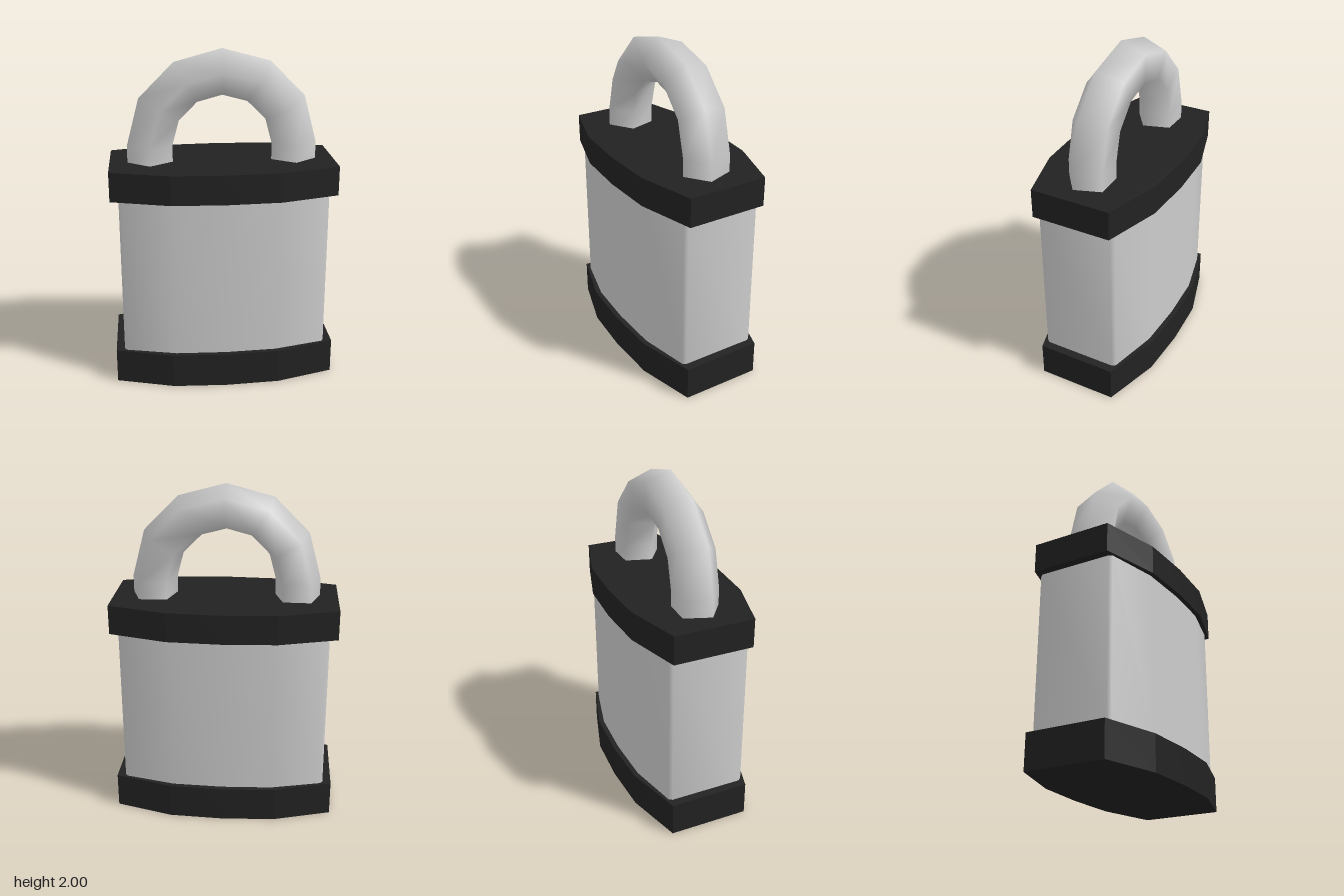
import * as THREE from 'three';
import { toCreasedNormals } from 'three/addons/utils/BufferGeometryUtils.js';

const grey = new THREE.MeshStandardMaterial({ color: 0xcccccc });
const dark = new THREE.MeshStandardMaterial({ color: 0x222222 });

// Upright slab from one quarter of its outline, mirrored in x and z
function slab(name, quarter, y0, y1, crease, material) {
  const half = [...quarter, ...quarter.slice(0, -1).reverse().map(([x, z]) => [-x, z])];
  const outline = [...half, ...half.map(([x, z]) => [-x, -z])];
  const shape = new THREE.Shape(outline.map(([x, z]) => new THREE.Vector2(x, z)));
  const geo = new THREE.ExtrudeGeometry(shape, { depth: y1 - y0, bevelEnabled: false });
  geo.rotateX(-Math.PI / 2).translate(0, y0, 0);
  const mesh = new THREE.Mesh(toCreasedNormals(geo, crease), material);
  mesh.name = name;
  return mesh;
}

// Five-sided bar swept up one leg, round a half circle and down the other
function shackle() {
  const sides = 5, bar = 0.14, bend = 0.425, centreY = 1.44, footY = 1.3, tilt = 0.29;
  const rings = [[0, footY]];
  for (let i = 0; i <= 6; i++) rings.push([i * Math.PI / 6, centreY]);
  rings.push([Math.PI, footY]);

  const pos = [], index = [];
  rings.forEach(([a, y], i) => {
    for (let j = 0; j < sides; j++) {
      const t = tilt + j * 2 * Math.PI / sides;
      const r = bend + bar * Math.cos(t);
      pos.push(r * Math.cos(a), y + r * Math.sin(a), bar * Math.sin(t));
      if (i === 0) continue;
      const k = (j + 1) % sides, p = (i - 1) * sides, q = i * sides;
      index.push(p + j, q + j, p + k, q + j, q + k, p + k);
    }
  });
  const geo = new THREE.BufferGeometry();
  geo.setAttribute('position', new THREE.Float32BufferAttribute(pos, 3));
  geo.setIndex(index);
  geo.computeVertexNormals();
  // the feet are open but sunk into the top cap
  const mesh = new THREE.Mesh(geo, new THREE.MeshStandardMaterial({ color: 0xcccccc, side: THREE.DoubleSide }));
  mesh.name = 'shackle';
  return mesh;
}

export function createModel() {
  const group = new THREE.Group();
  group.name = 'padlock';
  const capOutline = [[0.665, 0.24], [0.32, 0.34], [0, 0.356]];
  const bodyOutline = [[0.615, 0.22], [0.6, 0.24], [0.3, 0.312], [0, 0.325]];
  group.add(
    slab('bottomCap', capOutline, 0, 0.21, 0.1, dark),
    slab('body', bodyOutline, 0.2, 1.18, 1.1, grey),
    slab('topCap', capOutline, 1.165, 1.34, 0.1, dark),
    shackle()
  );
  return group;
}
